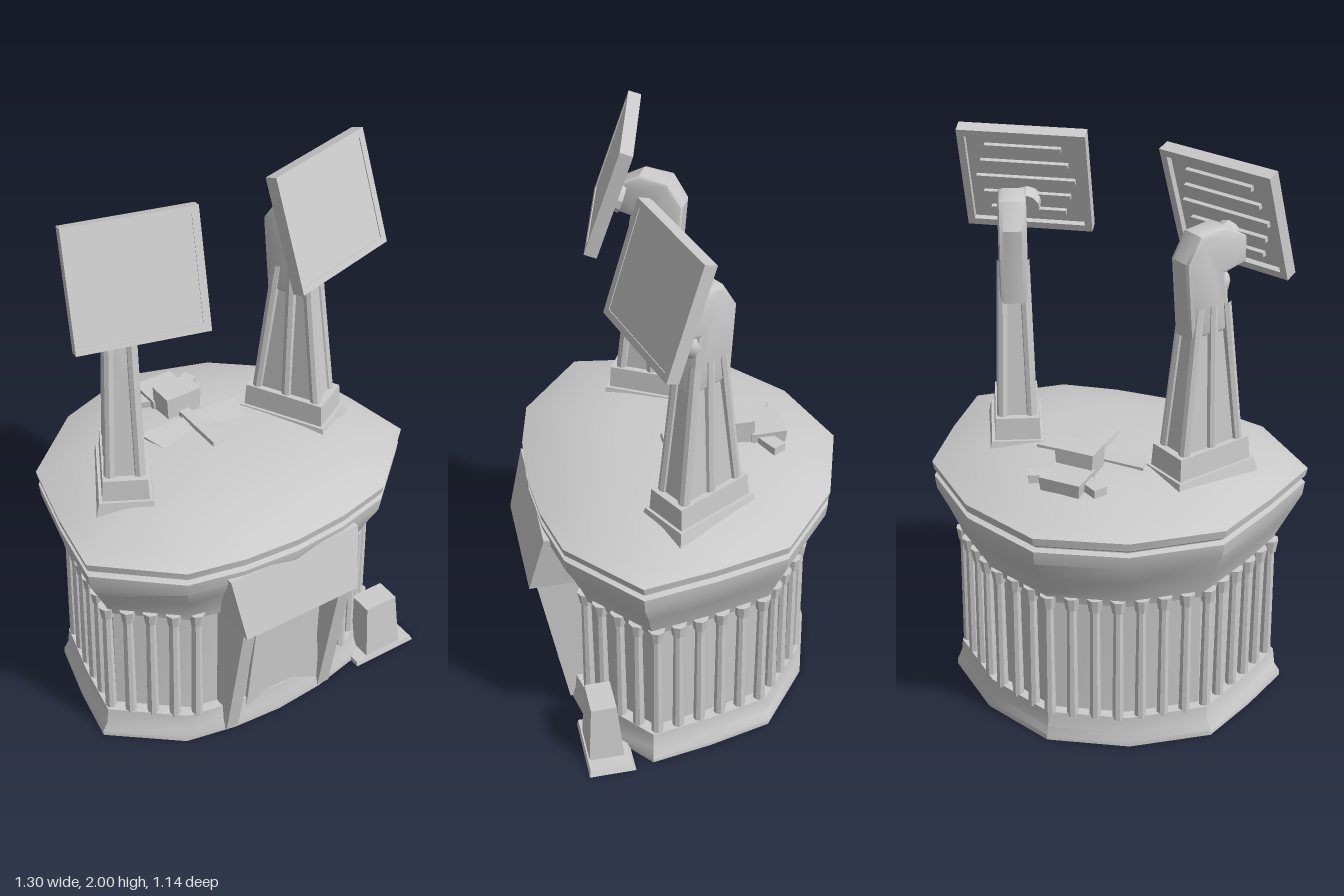
import * as THREE from 'three';
import { toCreasedNormals } from 'three/addons/utils/BufferGeometryUtils.js';

const material = new THREE.MeshStandardMaterial({ color: 0xcccccc });

function add(parent, name, geometry, crease = 0.6) {
  const mesh = new THREE.Mesh(toCreasedNormals(geometry, crease), material);
  mesh.name = name;
  parent.add(mesh);
  return mesh;
}

// Closed solid through rings of [x, y, z], listed bottom to top
function loft(rings) {
  const n = rings[0].length, pos = rings.flat(2), index = [];
  for (let r = 0; r < rings.length - 1; r++) {
    for (let i = 0; i < n; i++) {
      const a = r * n + i, b = r * n + (i + 1) % n, c = a + n, d = b + n;
      index.push(a, c, b, b, c, d);
    }
  }
  const cap = (ring, start, top) => {
    const centre = pos.length / 3;
    for (let k = 0; k < 3; k++) pos.push(ring.reduce((s, p) => s + p[k], 0) / n);
    for (let i = 0; i < n; i++) {
      const a = start + i, b = start + (i + 1) % n;
      index.push(centre, top ? b : a, top ? a : b);
    }
  };
  cap(rings[0], 0, false);
  cap(rings[rings.length - 1], (rings.length - 1) * n, true);
  const g = new THREE.BufferGeometry();
  g.setAttribute('position', new THREE.Float32BufferAttribute(pos, 3));
  g.setIndex(index);
  return g;
}

// Tapered block between two rectangles [x0, x1, z0, z1]
function block(y0, low, y1, high) {
  const ring = (y, [x0, x1, z0, z1]) => [[x0, y, z0], [x1, y, z0], [x1, y, z1], [x0, y, z1]];
  return loft([ring(y0, low), ring(y1, high)]);
}

// Uneven polygonal plan of the building, back point first
const half = [[0.3, -0.47], [0.55, -0.26], [0.61, 0], [0.65, 0.25], [0.4, 0.47], [0.2, 0.515]];
const plan = [[0, -0.57], ...half, [0, 0.53], ...half.map(([x, z]) => [-x, z]).reverse()];
const ring = (y, sx, sz = sx) => plan.map(([x, z]) => [x * sx, y, z * sz]);

function addDrum(model) {
  add(model, 'base', loft([ring(0, 0.92, 0.86), ring(0.02, 0.92, 0.86), ring(0.05, 0.89, 0.845),
    ring(0.11, 0.88, 0.835)]));
  add(model, 'drumWall', loft([ring(0.1, 0.81, 0.77), ring(0.6, 0.81, 0.77)]));
  add(model, 'cornice', loft([ring(0.56, 0.84, 0.82), ring(0.6, 0.86, 0.84), ring(0.68, 0.92, 0.9),
    ring(0.76, 0.98), ring(0.81, 0.99), ring(0.815, 0.95), ring(0.84, 0.95)]));
  add(model, 'roof', loft([ring(0.825, 0.97), ring(0.835, 0.99), ring(0.865, 1), ring(0.885, 0.91),
    ring(0.925, 0.68), ring(0.945, 0.4), ring(0.95, 0.1)]), 0.5);

  // Colonnade, left open at the entrance
  const colonnade = new THREE.Group();
  colonnade.name = 'colonnade';
  model.add(colonnade);
  const path = new THREE.CurvePath();
  plan.forEach(([x, z], i) => {
    const [u, w] = plan[(i + 1) % plan.length];
    path.add(new THREE.LineCurve(new THREE.Vector2(x * 0.845, z * 0.81),
      new THREE.Vector2(u * 0.845, w * 0.81)));
  });
  const count = 40;
  for (let i = 0; i < count; i++) {
    const p = path.getPointAt(i / count);
    if (p.y > 0.3 && Math.abs(p.x) < 0.24) continue;
    add(colonnade, 'column', new THREE.CylinderGeometry(0.017, 0.021, 0.48, 8))
      .position.set(p.x, 0.34, p.y);
    add(colonnade, 'capital', new THREE.CylinderGeometry(0.03, 0.022, 0.05, 8))
      .position.set(p.x, 0.562, p.y);
  }
}

function addEntrance(model) {
  add(model, 'entranceHood', block(0.56, [-0.23, 0.23, 0.3, 0.57], 0.79, [-0.26, 0.26, 0.3, 0.515]));
  for (const s of [-1, 1]) {
    const a = s * 0.2;
    add(model, 'entranceFin', block(0.01, [a - 0.025, a + 0.025, 0.3, 0.445],
      0.57, [a - 0.025, a + 0.025, 0.3, 0.545]));
  }
  add(model, 'entranceWall', block(0.01, [-0.19, 0.19, 0.3, 0.42], 0.57, [-0.19, 0.19, 0.3, 0.44]));
  add(model, 'door', block(0.01, [-0.14, 0.19, 0.35, 0.435], 0.5, [-0.1, 0.14, 0.35, 0.45]));

  // Small side annex on its own plate
  add(model, 'annexPlate', block(0, [0.36, 0.62, 0.28, 0.445], 0.02, [0.36, 0.61, 0.29, 0.44]));
  add(model, 'annex', block(0.01, [0.41, 0.56, 0.31, 0.435], 0.24, [0.41, 0.54, 0.33, 0.42]));
}

function addRoofDetails(model) {
  add(model, 'roofWedge', loft([0.9, 0.955].map((y, k) => [[-0.2, y, -0.14], [0.2, y, -0.14],
    [0.07, y - 0.03 * k, 0.27], [-0.07, y - 0.03 * k, 0.27]])));
  add(model, 'roofBar', block(0.93, [-0.025, 0.025, -0.2, 0.06], 0.965, [-0.02, 0.02, -0.2, 0.05]));
  add(model, 'roofBox', block(0.94, [-0.065, 0.065, -0.26, -0.165], 1.03, [-0.07, 0.07, -0.26, -0.165]));
  add(model, 'roofBoxTail', block(0.925, [-0.07, 0.07, -0.37, -0.25], 0.975, [-0.075, 0.075, -0.375, -0.25]));
  for (const s of [-1, 1]) {
    const lug = add(model, 'roofLug', new THREE.BoxGeometry(0.1, 0.03, 0.05));
    lug.position.set(s * 0.09, 0.945, -0.31);
    lug.rotation.y = s * 0.5;
  }
}

function addTower(model, s) {
  const tower = new THREE.Group();
  tower.name = s > 0 ? 'leftTower' : 'rightTower';
  tower.position.set(s * 0.35, 0, 0.0);
  tower.rotation.y = s * 0.5;
  model.add(tower);
  const rect = (w, d) => [-w / 2, w / 2, -d / 2, d / 2];
  add(tower, 'towerFoot', block(0.9, rect(0.2, 0.34), 0.95, rect(0.18, 0.32)));
  add(tower, 'towerPlinth', block(0.94, rect(0.16, 0.3), 1.03, rect(0.15, 0.29)));
  add(tower, 'towerShaft', block(1.02, rect(0.11, 0.24), 1.52, rect(0.075, 0.13)));

  // Upright ribs that lean in with the shaft
  for (const side of [-1, 1]) {
    for (const t of [-1, 0, 1]) {
      const curve = new THREE.LineCurve3(new THREE.Vector3(side * 0.05, 1.02, t * 0.112),
        new THREE.Vector3(side * 0.036, 1.54, t * 0.055));
      add(tower, 'towerRib', new THREE.TubeGeometry(curve, 1, 0.02, 8));
    }
  }

  // Bent neck reaching forward to the panel
  const neck = new THREE.Shape([[-0.075, 1.45], [-0.095, 1.7], [-0.05, 1.775], [0.04, 1.785],
    [0.12, 1.74], [0.12, 1.67], [0.03, 1.65], [0.045, 1.6], [0.06, 1.45]]
    .map(([x, y]) => new THREE.Vector2(x, y)));
  const neckGeometry = new THREE.ExtrudeGeometry(neck,
    { depth: 0.06, bevelThickness: 0.018, bevelSize: 0.014, bevelSegments: 2 });
  neckGeometry.translate(0, 0, -0.03).rotateY(-Math.PI / 2);
  add(tower, 'neck', neckGeometry);
  add(tower, 'knuckle', new THREE.SphereGeometry(0.05, 12, 8), 1).position.set(0, 1.6, 0.04);

  // Tilted panel with a raised rim at the back
  const panel = new THREE.Group();
  panel.name = s > 0 ? 'leftPanel' : 'rightPanel';
  panel.position.set(s * 0.365, 1.805, 0.14);
  panel.rotation.set(-0.32, s * 0.26, 0, 'YXZ');
  model.add(panel);
  const w = 0.218, h = 0.2;
  const outline = (a, b) => [[-a, -b], [a, -b], [a, b], [-a, b]].map(([x, y]) => new THREE.Vector2(x, y));
  const rim = new THREE.Shape(outline(w, h));
  rim.holes.push(new THREE.Path(outline(w - 0.025, h - 0.025)));
  add(panel, 'panelRim', new THREE.ExtrudeGeometry(rim, { depth: 0.045, bevelEnabled: false }))
    .position.z = -0.025;
  add(panel, 'panelPlate', new THREE.BoxGeometry(2 * w - 0.02, 2 * h - 0.02, 0.022)).position.z = 0.006;
  for (let i = -2; i <= 2; i++) {
    add(panel, 'panelRib', new THREE.BoxGeometry(0.34 - 0.04 * Math.abs(i), 0.018, 0.02))
      .position.set(0, i * 0.065, -0.01);
  }
  const hub = add(panel, 'panelHub', new THREE.CylinderGeometry(0.045, 0.05, 0.06, 10));
  hub.rotation.x = Math.PI / 2;
  hub.position.set(0, -0.08, -0.03);
}

export function createModel() {
  const model = new THREE.Group();
  model.name = 'domedStation';
  addDrum(model);
  addEntrance(model);
  addRoofDetails(model);
  for (const s of [-1, 1]) addTower(model, s);
  return model;
}
